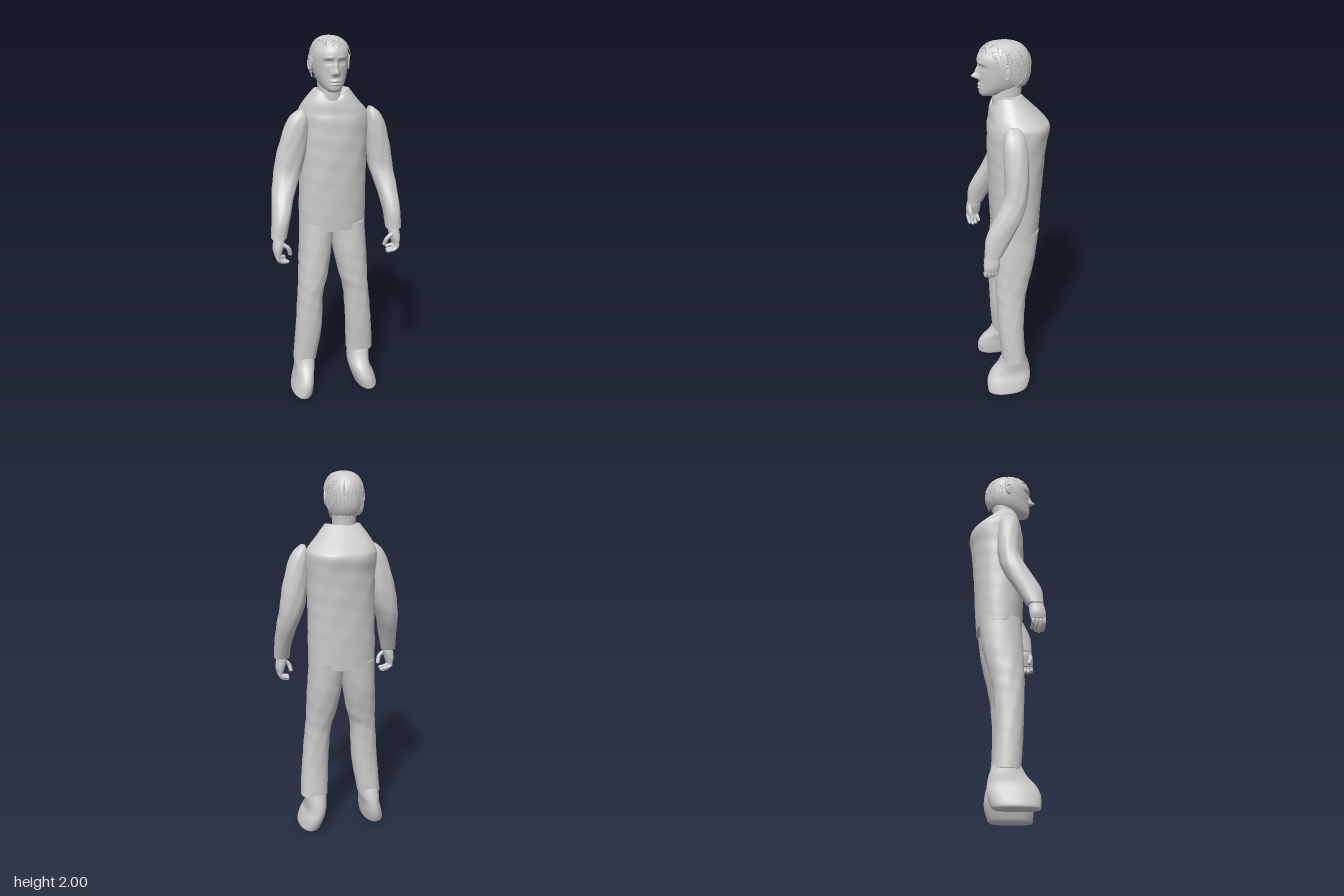
import * as THREE from 'three';

const grey = new THREE.MeshStandardMaterial({ color: 0xcccccc });
grey.name = 'plain grey';

const bump = (d, s) => Math.exp(-(d * d) / (s * s));

// Smooth closed loft. Each section is [y, xMin, xMax, zMin, zMax], from low to high.
function loft(name, sections, { segs = 40, rows = 30, power = 2.2, shape } = {}) {
  const times = sections.map((_, i) => i);
  const spline = new THREE.CubicInterpolant(times, sections.flat(), 5, new Float32Array(5));
  const pos = [], index = [], v = new THREE.Vector3();
  const soft = c => Math.sign(c) * Math.abs(c) ** (2 / power);
  for (let r = 0; r <= rows; r++) {
    const t = r / rows;
    const [y, x0, x1, z0, z1] = spline.evaluate(t * (sections.length - 1));
    for (let s = 0; s < segs; s++) {
      const a = (s / segs) * Math.PI * 2;
      v.set((x0 + x1) / 2 + soft(Math.cos(a)) * (x1 - x0) / 2, y,
        (z0 + z1) / 2 + soft(Math.sin(a)) * (z1 - z0) / 2);
      if (shape) shape(v, a, t);
      pos.push(v.x, v.y, v.z);
      if (r < rows) {
        const i = r * segs + s, j = r * segs + (s + 1) % segs;
        index.push(i, i + segs, j, j, i + segs, j + segs);
      }
    }
  }
  // end caps with their own vertices, so the rims stay crisp
  for (const row of [0, rows]) {
    const base = pos.length / 3, mid = new THREE.Vector3();
    for (let s = 0; s < segs; s++) {
      const k = (row * segs + s) * 3;
      pos.push(pos[k], pos[k + 1], pos[k + 2]);
      mid.add(v.set(pos[k], pos[k + 1], pos[k + 2]).divideScalar(segs));
    }
    pos.push(mid.x, mid.y, mid.z);
    for (let s = 0; s < segs; s++) {
      const i = base + s, j = base + (s + 1) % segs;
      index.push(base + segs, ...(row ? [j, i] : [i, j]));
    }
  }
  const g = new THREE.BufferGeometry();
  g.setAttribute('position', new THREE.Float32BufferAttribute(pos, 3));
  g.setIndex(index);
  g.computeVertexNormals();
  return part(name, g);
}

function part(name, geometry) {
  const m = new THREE.Mesh(geometry, grey);
  m.name = name;
  return m;
}

// Gentle cloth ripples
const cloth = (v, a, t) => {
  const k = 0.002 * Math.sin(v.y * 43 + a * 3) * Math.sin(a * 5 - v.y * 19) * Math.sin(Math.PI * t);
  v.x += Math.cos(a) * k;
  v.z += Math.sin(a) * k;
};

// Facial relief pushed out of the front of the head
function face(v, a) {
  if (Math.sin(a) <= 0) return;
  const x = v.x + 0.01, y = v.y, e = Math.abs(x) - 0.034;
  v.z += 0.036 * bump(x, 0.013) * bump(y - 1.832, 0.014)
    + 0.018 * bump(x, 0.010) * bump(y - 1.858, 0.022)
    + 0.008 * bump(Math.abs(x) - 0.014, 0.008) * bump(y - 1.825, 0.009)
    + 0.006 * bump(e, 0.024) * bump(y - 1.902, 0.008)
    - 0.013 * bump(e, 0.018) * bump(y - 1.880, 0.011)
    + 0.007 * bump(e, 0.012) * bump(y - 1.879, 0.006)
    + 0.008 * bump(x, 0.022) * bump(y - 1.790, 0.006)
    + 0.007 * bump(x, 0.020) * bump(y - 1.775, 0.006)
    - 0.004 * bump(x, 0.026) * bump(y - 1.782, 0.003);
}

// Point on the hair shell; the hairline is high in front and low at the nape
function hairPoint(phi, t, lift = 0) {
  const back = (1 - Math.sin(phi)) / 2;
  const theta = t * THREE.MathUtils.lerp(1.02, 2.3, THREE.MathUtils.smoothstep(back, 0.08, 0.85));
  const soft = c => Math.sign(c) * Math.abs(c) ** 0.8;
  const r = soft(Math.sin(theta)), k = 1 + lift + 0.015 * Math.sin(phi * 34 + t * 9) * t;
  return new THREE.Vector3(-0.01 + Math.cos(phi) * r * 0.101 * k,
    1.87 + soft(Math.cos(theta)) * (0.127 + lift * 0.1), 0.027 + Math.sin(phi) * r * 0.134 * k);
}

function hair() {
  const g = new THREE.Group();
  g.name = 'hair';
  const cap = new THREE.SphereGeometry(1, 96, 28), p = cap.attributes.position, uv = cap.attributes.uv;
  for (let i = 0; i < p.count; i++) {
    const q = hairPoint(-Math.round(uv.getX(i) * 96) / 96 * Math.PI * 2, 1 - uv.getY(i));
    p.setXYZ(i, q.x, q.y, q.z);
  }
  cap.computeVertexNormals();
  g.add(part('hairCap', cap));
  let seed = 7;
  const rand = () => (seed = (seed * 16807) % 2147483647) / 2147483647;
  for (let i = 0; i < 90; i++) {
    const phi = rand() * Math.PI * 2, t = 0.35 + rand() * 0.45, turn = (rand() - 0.5) * 0.7;
    const pts = [0, 1, 2].map(k => hairPoint(phi + turn * k / 2, t + k * 0.11, 0.012));
    g.add(part('strand', new THREE.TubeGeometry(new THREE.CatmullRomCurve3(pts), 6, 0.0014, 4)));
  }
  return g;
}

// Hand with curled fingers; side is +1 for the model's left
function hand(side) {
  const g = new THREE.Group();
  g.name = side > 0 ? 'leftHand' : 'rightHand';
  const span = (y, a, b, z0, z1) => [y, Math.min(a * side, b * side), Math.max(a * side, b * side), z0, z1];
  g.add(loft('palm', [
    span(0.915, 0.305, 0.342, 0.118, 0.192), span(0.945, 0.295, 0.348, 0.112, 0.195),
    span(0.985, 0.285, 0.343, 0.11, 0.19), span(1.03, 0.29, 0.338, 0.118, 0.175),
  ], { segs: 24, rows: 12 }));
  const digit = (name, r, ...pts) => {
    const path = pts.map(([x, y, z]) => new THREE.Vector3(x * side, y, z));
    g.add(part(name, new THREE.TubeGeometry(new THREE.CatmullRomCurve3(path), 8, r, 10)));
    for (const end of [path[0], path[path.length - 1]]) {
      const tip = part(name + 'Tip', new THREE.SphereGeometry(r, 10, 8));
      tip.position.copy(end);
      g.add(tip);
    }
  };
  for (let i = 0; i < 4; i++) {
    const z = 0.129 + i * 0.018, low = [0.885, 0.872, 0.869, 0.878][i];
    digit('finger', 0.0098, [0.325, 0.93, z], [0.327, 0.9, z + 0.002],
      [0.312, low + 0.006, z], [0.286 - i * 0.003, low, z - 0.002]);
  }
  digit('thumb', 0.0115, [0.3, 0.975, 0.175], [0.27, 0.95, 0.176], [0.259, 0.915, 0.166]);
  return g;
}

export function createModel() {
  const model = new THREE.Group();
  model.name = 'standingMan';

  // Shirt body, with a dip at the front of the collar
  model.add(loft('torso', [
    [0.985, -0.165, 0.2, -0.148, 0.1], [1.1, -0.164, 0.2, -0.155, 0.107],
    [1.3, -0.158, 0.2, -0.166, 0.115], [1.48, -0.156, 0.205, -0.18, 0.118],
    [1.58, -0.16, 0.21, -0.195, 0.115], [1.62, -0.155, 0.195, -0.175, 0.108],
    [1.67, -0.135, 0.15, -0.122, 0.1], [1.735, -0.09, 0.095, -0.055, 0.08],
  ], {
    segs: 72, rows: 60, shape: (v, a, t) => {
      cloth(v, a, t);
      if (Math.sin(a) > 0) v.y -= 0.055 * bump(v.x, 0.045) * THREE.MathUtils.smoothstep(t, 0.88, 1);
    },
  }));

  // Sleeves
  model.add(loft('rightArm', [
    [1.0, -0.352, -0.272, 0.1, 0.186], [1.1, -0.34, -0.245, 0.045, 0.178],
    [1.21, -0.327, -0.208, -0.012, 0.125], [1.31, -0.308, -0.165, -0.038, 0.08],
    [1.42, -0.285, -0.133, -0.045, 0.075], [1.54, -0.247, -0.12, -0.04, 0.075],
    [1.6, -0.215, -0.122, -0.028, 0.066], [1.632, -0.175, -0.14, -0.005, 0.045],
  ], { shape: cloth }));
  model.add(loft('leftArm', [
    [1.0, 0.272, 0.355, 0.1, 0.188], [1.1, 0.264, 0.355, 0.045, 0.178],
    [1.21, 0.24, 0.352, -0.012, 0.125], [1.31, 0.21, 0.34, -0.038, 0.08],
    [1.42, 0.195, 0.325, -0.045, 0.075], [1.54, 0.188, 0.293, -0.04, 0.075],
    [1.6, 0.19, 0.262, -0.028, 0.066], [1.632, 0.2, 0.225, -0.005, 0.045],
  ], { shape: cloth }));
  model.add(hand(-1), hand(1));

  // Trousers
  model.add(loft('rightLeg', [
    [0.19, -0.22, -0.09, -0.06, 0.076], [0.4, -0.205, -0.057, -0.05, 0.092],
    [0.6, -0.19, -0.05, -0.06, 0.1], [0.7, -0.183, -0.025, -0.08, 0.103],
    [0.85, -0.172, 0.002, -0.115, 0.1], [1.02, -0.16, 0.025, -0.138, 0.09],
  ], { rows: 40, shape: cloth }));
  model.add(loft('leftLeg', [
    [0.215, 0.096, 0.25, -0.06, 0.076], [0.4, 0.088, 0.236, -0.05, 0.092],
    [0.6, 0.075, 0.215, -0.06, 0.1], [0.7, 0.05, 0.209, -0.08, 0.103],
    [0.85, 0.022, 0.204, -0.115, 0.1], [1.02, 0.01, 0.195, -0.138, 0.09],
  ], { rows: 40, shape: cloth }));

  // Shoes
  model.add(loft('rightShoe', [
    [0, -0.236, -0.135, -0.055, 0.158], [0.015, -0.243, -0.126, -0.07, 0.165],
    [0.07, -0.23, -0.117, -0.088, 0.165], [0.12, -0.217, -0.112, -0.088, 0.142],
    [0.17, -0.213, -0.1, -0.078, 0.098], [0.23, -0.205, -0.1, -0.055, 0.07],
  ]));
  model.add(loft('leftShoe', [
    [0, 0.15, 0.25, -0.055, 0.158], [0.015, 0.137, 0.26, -0.07, 0.165],
    [0.07, 0.118, 0.246, -0.088, 0.165], [0.12, 0.106, 0.226, -0.088, 0.142],
    [0.17, 0.104, 0.226, -0.078, 0.102], [0.24, 0.108, 0.235, -0.055, 0.07],
  ]));

  // Neck, head, ears and hair
  model.add(loft('neck', [
    [1.64, -0.065, 0.06, -0.07, 0.08], [1.71, -0.064, 0.054, -0.058, 0.085],
    [1.79, -0.068, 0.054, -0.065, 0.08],
  ], { rows: 12 }));
  model.add(loft('head', [
    [1.735, -0.036, 0.018, 0.07, 0.14], [1.75, -0.056, 0.037, 0.0, 0.15],
    [1.78, -0.076, 0.058, -0.06, 0.15], [1.82, -0.09, 0.072, -0.085, 0.148],
    [1.87, -0.099, 0.08, -0.1, 0.15], [1.92, -0.098, 0.079, -0.1, 0.156],
    [1.955, -0.081, 0.062, -0.08, 0.136], [1.98, -0.055, 0.036, -0.045, 0.1],
    [1.99, -0.02, 0.0, 0.01, 0.05],
  ], { segs: 128, rows: 100, power: 2.1, shape: face }));
  for (const side of [-1, 1]) {
    const ear = new THREE.Group();
    ear.name = side > 0 ? 'leftEar' : 'rightEar';
    const lobe = part('earShell', new THREE.SphereGeometry(1, 18, 14));
    lobe.scale.set(0.009, 0.034, 0.02);
    const rim = part('earRim', new THREE.TorusGeometry(0.026, 0.005, 8, 24));
    rim.rotation.y = Math.PI / 2;
    rim.scale.set(0.65, 1.15, 1);
    rim.position.x = side * 0.006;
    ear.add(lobe, rim);
    ear.position.set(-0.01 + side * 0.095, 1.865, 0.025);
    ear.rotation.y = side * -0.3;
    model.add(ear);
  }
  model.add(hair());
  return model;
}
